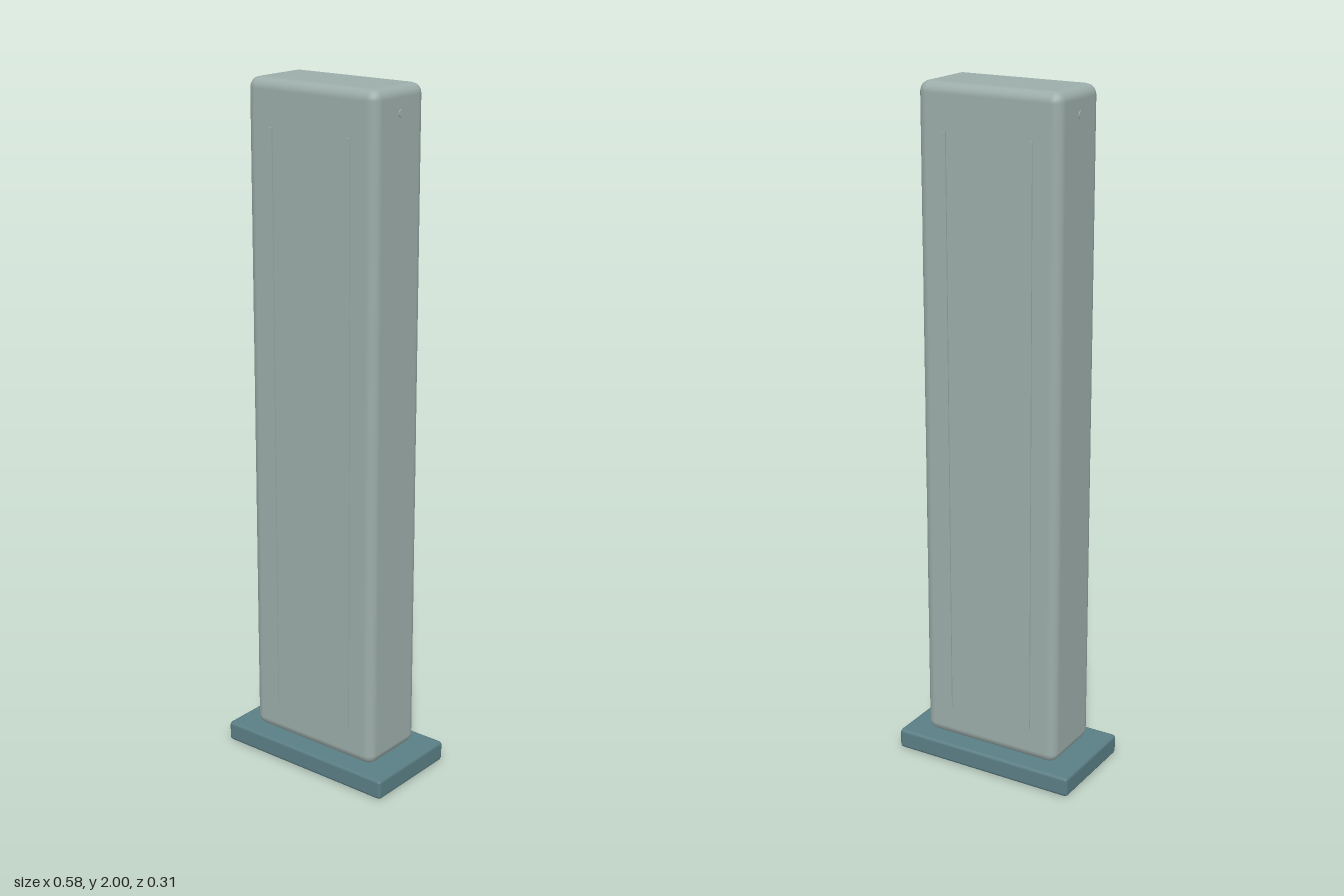
import * as THREE from 'three';
import { RoundedBoxGeometry } from 'three/addons/geometries/RoundedBoxGeometry.js';

export function createModel() {
  const model = new THREE.Group();
  model.name = 'pillar';

  const paleGrey = new THREE.MeshStandardMaterial({ name: 'paleGrey', color: 0x9cadaa });
  const teal = new THREE.MeshStandardMaterial({ name: 'teal', color: 0x5a7f85 });

  const add = (name, geometry, material, x, y, z) => {
    const mesh = new THREE.Mesh(geometry, material);
    mesh.name = name;
    mesh.position.set(x, y, z);
    model.add(mesh);
    return mesh;
  };

  // Chamfered foot plate
  add('base', new RoundedBoxGeometry(0.576, 0.06, 0.308, 1, 0.01), teal, 0, 0.03, 0);

  // Tall body with softly bevelled edges
  add('body', new RoundedBoxGeometry(0.44, 1.94, 0.216, 2, 0.03), paleGrey, 0, 1.03, 0);

  // Slim raised ribs on the front and back
  const rib = new THREE.BoxGeometry(0.013, 1.71, 0.008);
  for (const z of [-1, 1]) {
    for (const x of [-1, 1]) add('rib', rib, paleGrey, x * 0.133, 1.015, z * 0.108);
  }

  // Small round stud near the top of each narrow side
  const stud = new THREE.CylinderGeometry(0.011, 0.011, 0.008, 16);
  stud.rotateZ(Math.PI / 2);
  for (const x of [-1, 1]) add('sideStud', stud, paleGrey, x * 0.219, 1.93, 0);

  return model;
}
